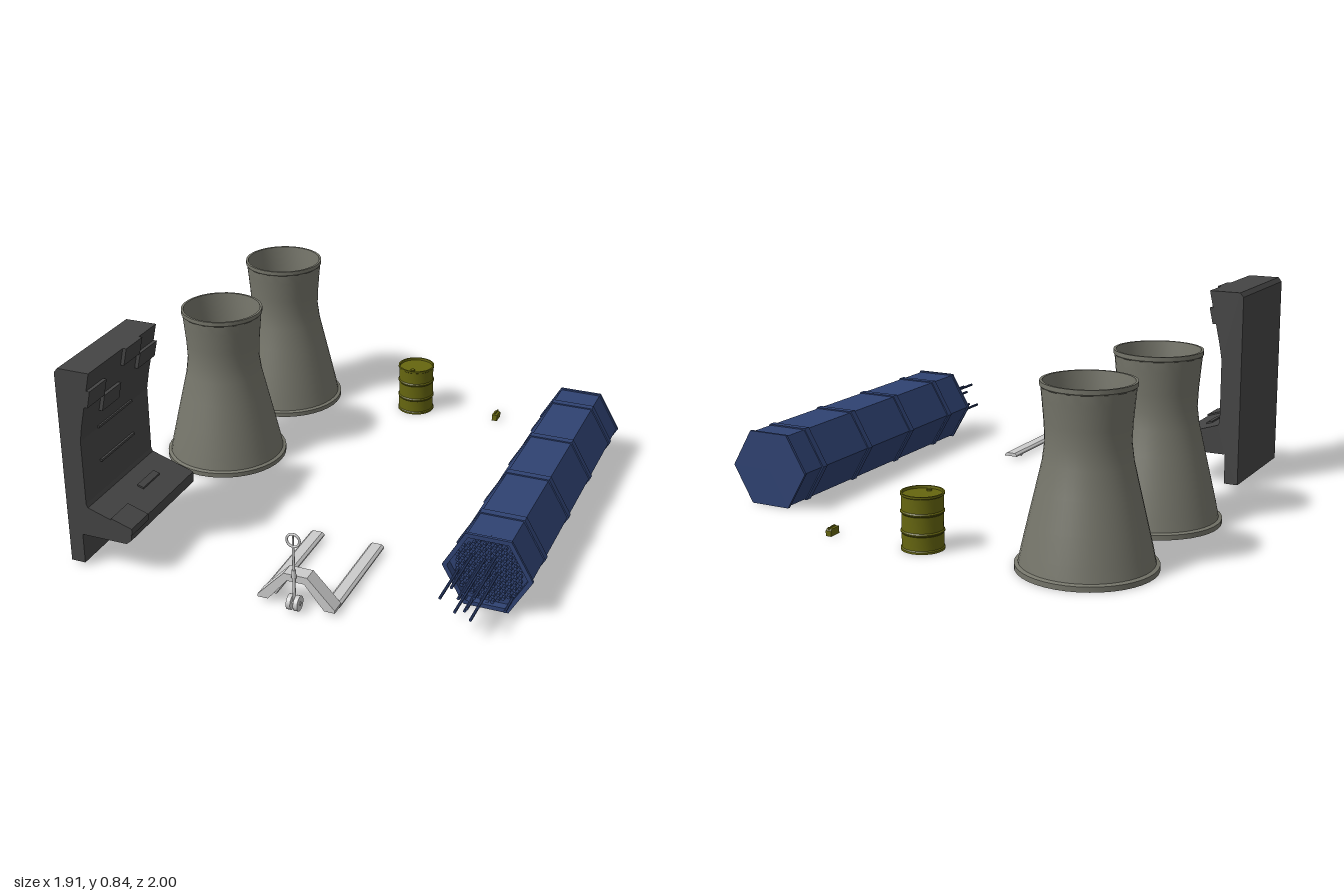
import * as THREE from 'three';
import { toCreasedNormals } from 'three/addons/utils/BufferGeometryUtils.js';

const mat = (color, flat = false) => new THREE.MeshStandardMaterial({ color, flatShading: flat });
const concrete = mat(0x75756a);
const darkGrey = mat(0x444444, true);
const olive = mat(0x66660f);
const navy = mat(0x2f4272, true);
const grey = mat(0xcccccc);

function add(parent, name, geometry, material, x = 0, y = 0, z = 0) {
  const mesh = new THREE.Mesh(geometry, material);
  mesh.name = name;
  mesh.position.set(x, y, z);
  parent.add(mesh);
  return mesh;
}

function group(parent, name) {
  const g = new THREE.Group();
  g.name = name;
  parent.add(g);
  return g;
}

const box = (w, h, d) => new THREE.BoxGeometry(w, h, d);
const vecs = (pts) => pts.map(([a, b]) => new THREE.Vector2(a, b));

// Profile in x/y, swept from z0 to z1
function slab(pts, z0, z1) {
  const geo = new THREE.ExtrudeGeometry(new THREE.Shape(vecs(pts)), { depth: z1 - z0, bevelEnabled: false });
  return geo.translate(0, 0, z0);
}

const lathe = (pts, segments) => toCreasedNormals(new THREE.LatheGeometry(vecs(pts), segments), 0.5);

// Cylinder lying along z between z0 and z1
function rod(r, z0, z1, sides) {
  const geo = new THREE.CylinderGeometry(r, r, z1 - z0, sides);
  if (sides === 6) geo.rotateY(Math.PI / 6);
  return geo.rotateX(Math.PI / 2).translate(0, 0, (z0 + z1) / 2);
}

// Hollow waisted towers with a foot ring and an inner floor
function buildTowers(root) {
  const outer = [[0.264, 0], [0.264, 0.02], [0.25, 0.025], [0.239, 0.08], [0.216, 0.18], [0.188, 0.3],
    [0.165, 0.4], [0.156, 0.47], [0.159, 0.54], [0.167, 0.63], [0.171, 0.67], [0.175, 0.675], [0.175, 0.692]];
  const inner = [[0.165, 0.692], [0.158, 0.63], [0.15, 0.54], [0.149, 0.47], [0.157, 0.4],
    [0.18, 0.3], [0.23, 0.08], [0.235, 0.03], [0, 0.03]];
  const geo = lathe([[0, 0], ...outer, ...inner], 40);
  for (const z of [-0.736, -0.095]) add(root, 'coolingTower', geo, concrete, -0.69, 0, z);
}

// Upright wall with a ledge, leaning top and raised plates
function buildWall(root) {
  const g = group(root, 'wallSection');
  add(g, 'wall', slab([[-0.83, 0.012], [-0.77, 0.012], [-0.77, 0.14], [-0.575, 0.14], [-0.552, 0.16],
    [-0.552, 0.205], [-0.735, 0.265], [-0.742, 0.28], [-0.742, 0.55], [-0.73, 0.62],
    [-0.682, 0.84], [-0.815, 0.84], [-0.83, 0.822]], 0.48, 0.988), darkGrey);
  const faceX = (y) => -0.73 + (y - 0.62) * 0.218;
  for (const [z0, z1, y0, y1] of [[0.865, 0.988, 0.697, 0.767], [0.74, 0.865, 0.627, 0.695],
    [0.615, 0.738, 0.768, 0.84], [0.48, 0.613, 0.70, 0.768]]) {
    add(g, 'raisedPlate', slab([[faceX(y0) - 0.02, y0], [faceX(y0) + 0.015, y0],
      [faceX(y1) + 0.015, y1], [faceX(y1) - 0.02, y1]], z0, z1), darkGrey);
  }
  for (const y of [0.41, 0.555]) add(g, 'wallStrip', box(0.014, 0.009, 0.25), darkGrey, -0.74, y, 0.74);
  // Plates lying on the sloping ledge
  const ledgeY = (x) => 0.205 - (x + 0.552) * 0.328;
  for (const [x0, x1, z0, z1] of [[-0.636, -0.548, 0.86, 0.988], [-0.667, -0.64, 0.6, 0.73]]) {
    add(g, 'ledgePlate', slab([[x0, ledgeY(x0) - 0.02], [x1, ledgeY(x1) - 0.02],
      [x1, ledgeY(x1) + 0.007], [x0, ledgeY(x0) + 0.007]], z0, z1), darkGrey);
  }
}

// Drum with rolling hoops and a sunken lid
function buildBarrel(root) {
  const pts = [[0, 0.01], [0.076, 0.01], [0.077, 0], [0.084, 0], [0.084, 0.008], [0.08, 0.012]];
  for (const y of [0.072, 0.148]) pts.push([0.08, y - 0.007], [0.084, y - 0.002], [0.084, y + 0.002], [0.08, y + 0.007]);
  pts.push([0.08, 0.21], [0.084, 0.213], [0.084, 0.221], [0.077, 0.221], [0.076, 0.211], [0, 0.211]);
  const g = group(root, 'barrel');
  g.position.set(-0.055, 0, -0.825);
  add(g, 'drum', lathe(pts, 28), olive);
  add(g, 'bung', new THREE.CylinderGeometry(0.01, 0.01, 0.008, 10), olive, 0, 0.213, 0.05);
}

// Small fuel can with a handle and spout
function buildCan(root) {
  const g = group(root, 'fuelCan');
  g.position.set(0.337, 0, -0.85);
  add(g, 'canBody', slab([[-0.028, 0], [0.028, 0], [0.028, 0.022], [0.02, 0.029], [-0.028, 0.029]], -0.012, 0.012)
    .rotateY(Math.PI / 2), olive);
  add(g, 'canHandle', box(0.005, 0.006, 0.026), olive, 0, 0.033, 0.004);
  add(g, 'canSpout', new THREE.CylinderGeometry(0.004, 0.004, 0.012, 8), olive, 0, 0.029, -0.021);
}

// Six-sided fuel block: collars, open front rim and a bundle of rods
function buildFuelBlock(root) {
  const g = group(root, 'fuelBlock');
  g.position.set(0.777, 0.154, 0);
  add(g, 'casing', rod(0.17, -0.648, 0.662, 6), navy);
  add(g, 'backCollar', rod(0.177, -0.656, -0.644, 6), navy);
  for (const z of [-0.51, -0.17, 0.172, 0.51]) add(g, 'collar', rod(0.176, z - 0.015, z + 0.015, 6), navy);

  const hexagon = (r) => vecs([0, 1, 2, 3, 4, 5].map((i) => [r * Math.cos(i * Math.PI / 3), r * Math.sin(i * Math.PI / 3)]));
  const rim = new THREE.Shape(hexagon(0.17));
  rim.holes.push(new THREE.Path(hexagon(0.157)));
  add(g, 'frontSleeve', new THREE.ExtrudeGeometry(rim, { depth: 0.03, bevelEnabled: false }), navy, 0, 0, 0.66);
  const lip = new THREE.Shape(hexagon(0.177));
  lip.holes.push(new THREE.Path(hexagon(0.157)));
  add(g, 'frontCollar', new THREE.ExtrudeGeometry(lip, { depth: 0.012, bevelEnabled: false }), navy, 0, 0, 0.682);

  // Packed rod ends behind the rim
  const pitch = 0.0235, n = 6;
  const endGeo = rod(0.0075, 0.655, 0.68, 6);
  for (let q = -n; q <= n; q++) {
    for (let r = Math.max(-n, -q - n); r <= Math.min(n, -q + n); r++) {
      add(g, 'rodEnd', endGeo, navy, q * pitch * 0.866, (r + q / 2) * pitch, 0);
    }
  }
  // Rods drawn out to different lengths
  for (const [x, y, z] of [[-0.122, -0.03, 0.87], [-0.065, 0.055, 0.915], [-0.05, -0.045, 0.915],
    [-0.038, 0.015, 0.915], [-0.02, 0.04, 0.915], [-0.005, -0.02, 0.915], [0.01, -0.065, 0.915],
    [0.022, 0.06, 0.81], [0.036, -0.005, 0.915], [0.02, 0.03, 0.915], [-0.03, -0.07, 0.86], [0.095, -0.1, 0.765]]) {
    add(g, 'drawnRod', rod(0.006, 0.655, z, 8), navy, x, y, 0);
  }
}

// Trolley: two forks, arched yoke, twin steering wheels and a ring handle
function buildTrolley(root) {
  const g = group(root, 'trolley');
  g.position.x = 0.118;
  add(g, 'yoke', slab([[-0.158, 0.014], [-0.115, 0.014], [-0.035, 0.112], [0.035, 0.112], [0.115, 0.014],
    [0.158, 0.014], [0.158, 0.025], [0.048, 0.142], [-0.048, 0.142], [-0.158, 0.025]], 0.895, 0.955), grey);
  const wheel = new THREE.CylinderGeometry(0.01, 0.01, 0.018, 14).rotateZ(Math.PI / 2);
  for (const s of [-1, 1]) {
    add(g, 'fork', slab([[-0.03, 0.012], [0.03, 0.012], [0.03, 0.018], [0.02, 0.027], [-0.02, 0.027], [-0.03, 0.018]],
      0.452, 0.91), grey, s * 0.129);
    for (const dx of [-0.012, 0.012]) add(g, 'forkWheel', wheel, grey, s * 0.129 + dx, 0.01, 0.52);
    add(g, 'steeringWheel', new THREE.CylinderGeometry(0.03, 0.03, 0.017, 20).rotateZ(Math.PI / 2), grey,
      s * 0.0145, 0.032, 0.966);
  }
  add(g, 'axle', new THREE.CylinderGeometry(0.008, 0.008, 0.05, 10).rotateZ(Math.PI / 2), grey, 0, 0.032, 0.966);
  add(g, 'steeringPost', new THREE.CylinderGeometry(0.006, 0.006, 0.14, 10), grey, 0, 0.1, 0.966);
  add(g, 'handleSocket', new THREE.CylinderGeometry(0.008, 0.01, 0.035, 10), grey, 0, 0.157, 0.966);
  add(g, 'handleShaft', new THREE.CylinderGeometry(0.005, 0.005, 0.12, 10), grey, 0, 0.215, 0.966);
  add(g, 'handleRing', new THREE.TorusGeometry(0.026, 0.005, 8, 24), grey, 0, 0.3, 0.966);
  add(g, 'handleLever', box(0.005, 0.05, 0.006), grey, 0, 0.3, 0.966);
}

export function createModel() {
  const root = new THREE.Group();
  root.name = 'industrialSet';
  buildTowers(root);
  buildWall(root);
  buildBarrel(root);
  buildCan(root);
  buildFuelBlock(root);
  buildTrolley(root);
  return root;
}
